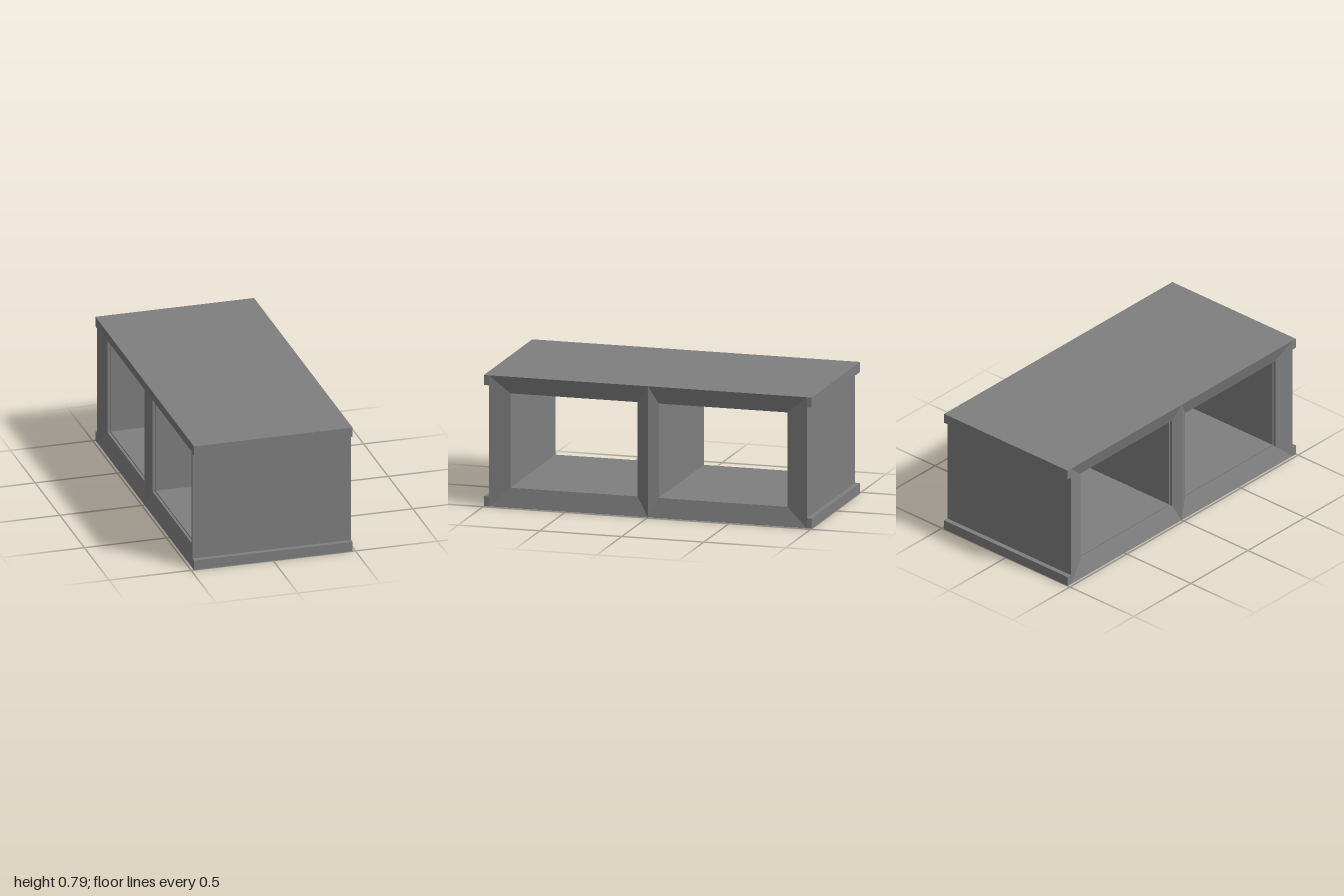
import * as THREE from 'three';

const HALF_W = 0.483, H = 0.785, BODY_Z = 0.97, LIP_H = 0.06;

// Loft through rectangular rings [x, z0, z1, y0, y1], with flat faces.
function loftRings(rings) {
  const corners = rings.map(([x, z0, z1, y0, y1]) =>
    [[x, y0, z1], [x, y0, z0], [x, y1, z0], [x, y1, z1]]);
  const pos = [];
  for (let r = 0; r < corners.length - 1; r++) {
    for (let i = 0; i < 4; i++) {
      const j = (i + 1) % 4;
      const a = corners[r][i], b = corners[r][j];
      const c = corners[r + 1][j], d = corners[r + 1][i];
      pos.push(...a, ...b, ...c, ...a, ...c, ...d);
    }
  }
  const g = new THREE.BufferGeometry();
  g.setAttribute('position', new THREE.Float32BufferAttribute(pos, 3));
  g.computeVertexNormals();
  return g;
}

export function createModel() {
  const model = new THREE.Group();
  model.name = 'twoCellBlock';
  const concrete = new THREE.MeshStandardMaterial({ color: 0x7f7f7f });
  concrete.name = 'concrete grey';

  const add = (name, geometry) => {
    const mesh = new THREE.Mesh(geometry, concrete);
    mesh.name = name;
    model.add(mesh);
    return mesh;
  };

  // Each cell: sloped frame, straight tunnel, small step and sloped frame on the far side
  const cell = (name, outer, inner) => {
    const [z0, z1, y0, y1] = inner;
    const s = 0.008;
    const wide = [z0 - s, z1 + s, y0 - s, y1 + s];
    add(name, loftRings([
      [HALF_W, ...outer],
      [HALF_W - 0.025, ...inner],
      [-HALF_W + 0.045, ...inner],
      [-HALF_W + 0.045, ...wide],
      [-HALF_W + 0.03, ...wide],
      [-HALF_W, ...outer],
    ]));
  };
  cell('frontCell', [0, BODY_Z, 0, H], [0.07, 0.845, 0.115, 0.68]);
  cell('backCell', [-BODY_Z, 0, 0, H], [-0.845, -0.06, 0.115, 0.68]);

  // Outer skin
  const slab = () => new THREE.PlaneGeometry(HALF_W * 2, BODY_Z * 2);
  add('topFace', slab().rotateX(-Math.PI / 2)).position.y = H;
  add('bottomFace', slab().rotateX(Math.PI / 2));

  for (const [side, s] of [['front', 1], ['back', -1]]) {
    const wall = new THREE.PlaneGeometry(HALF_W * 2, H);
    if (s < 0) wall.rotateY(Math.PI);
    add(side + 'Wall', wall).position.set(0, H / 2, s * BODY_Z);

    // Projecting lips along the upper and lower edges
    for (const [level, y] of [['Upper', H - LIP_H / 2], ['Lower', LIP_H / 2]]) {
      const lip = new THREE.BoxGeometry(HALF_W * 2, LIP_H, 1 - BODY_Z);
      add(side + level + 'Lip', lip).position.set(0, y, s * (1 + BODY_Z) / 2);
    }
  }
  return model;
}
